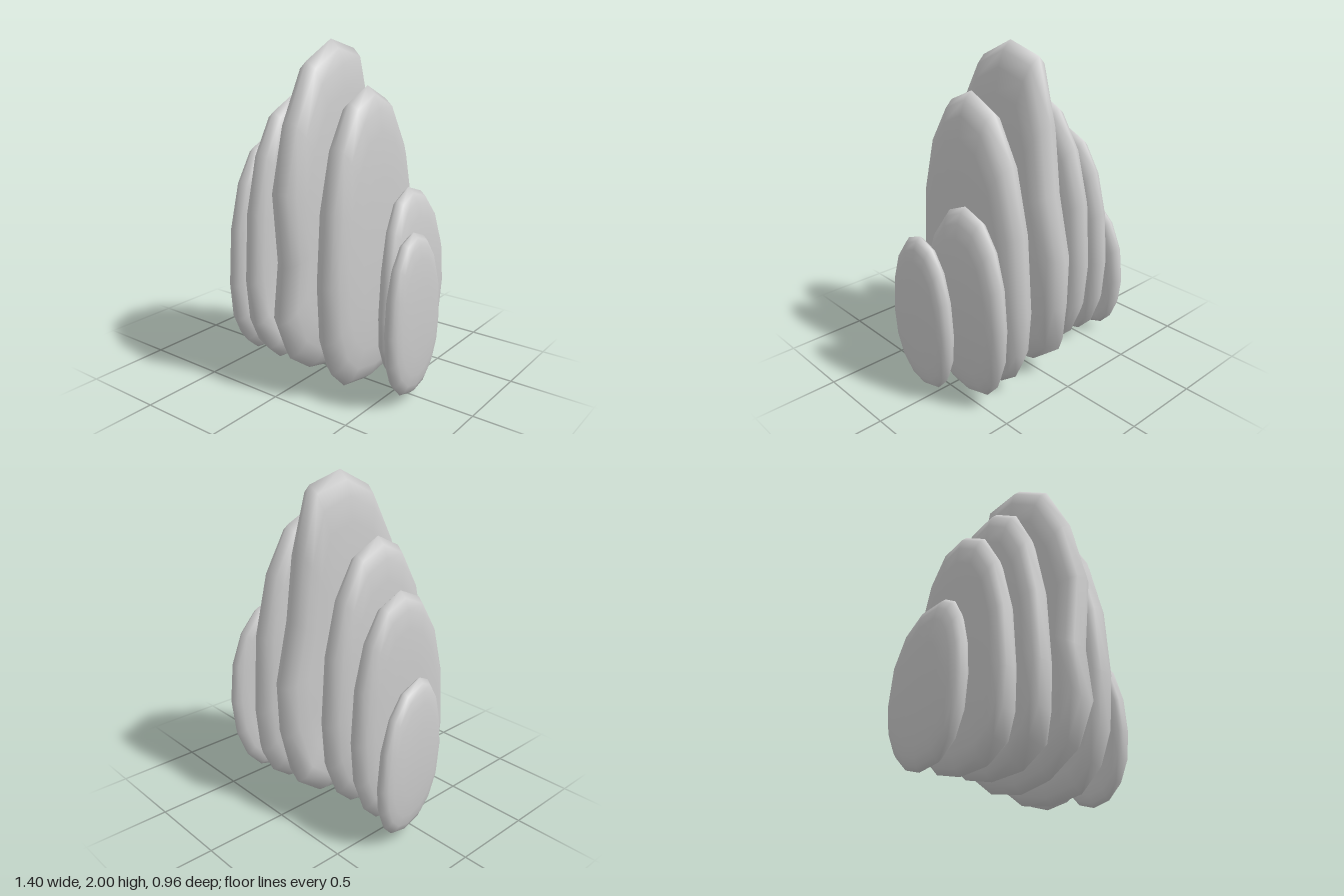
import * as THREE from 'three';
import { mergeVertices } from 'three/addons/utils/BufferGeometryUtils.js';

// Uneven oval through its top, back, bottom and front points, each [z, y];
// fullness squares off the lower half.
function oval(top, back, bottom, front, fullness) {
  const ends = [top, back, bottom, front];
  const points = [];
  for (let q = 0; q < 4; q++) {
    const from = ends[q], to = ends[(q + 1) % 4];
    const power = 2 / (q === 0 || q === 3 ? 2.1 : fullness);
    for (let k = 0; k < 4; k++) {
      const angle = k * Math.PI / 8;
      const leave = Math.cos(angle) ** power, arrive = Math.sin(angle) ** power;
      const grow = axis => from[axis] + (to[axis] - from[axis]) * arrive;
      const fade = axis => to[axis] + (from[axis] - to[axis]) * leave;
      points.push(q % 2 === 0 ? [grow(0), fade(1)] : [fade(0), grow(1)]);
    }
  }
  return points;
}

// Rounded section from face centre over the rim to the other face: [outline scale, thickness share]
const halfSection = [[0, 1], [0.45, 0.97], [0.72, 0.85], [0.86, 0.7], [0.95, 0.44], [1, 0]];
const section = [...halfSection, ...halfSection.slice(0, -1).reverse().map(([s, h]) => [s, -h])];

// Slab standing in the z-y plane: lean shifts x along z, bow shifts x towards
// top and bottom, bulge swells one face by an amount around a spot [z, y].
function slabGeometry(outline, { x, thick, lean = 0, bow = 0, bulge = 0, spot = [0, 0] }) {
  const n = outline.length;
  const range = axis => {
    const values = outline.map(p => p[axis]);
    return [Math.min(...values), Math.max(...values)];
  };
  const [z0, z1] = range(0), [y0, y1] = range(1);
  const cz = (z0 + z1) / 2, cy = (y0 + y1) / 2;
  const positions = [], index = [];

  for (const [s, h] of section) {
    for (const [pz, py] of outline) {
      const z = cz + (pz - cz) * s, y = cy + (py - cy) * s;
      const swell = h * bulge >= 0 ? bulge * Math.exp(-((z - spot[0]) ** 2 + (y - spot[1]) ** 2) / 0.03) : 0;
      const curve = bow * ((y - cy) / (y1 - cy)) ** 2;
      positions.push(x + h * thick + lean * (z - cz) + curve + swell, y, z);
    }
  }
  const last = section.length - 2;
  for (let i = 0; i <= last; i++) {
    for (let j = 0; j < n; j++) {
      const k = (j + 1) % n;
      const a = i * n + j, b = a + n, c = (i + 1) * n + k, d = i * n + k;
      if (i < last) index.push(a, c, b);
      if (i > 0) index.push(a, d, i < last ? c : b);
    }
  }
  const geometry = new THREE.BufferGeometry();
  geometry.setAttribute('position', new THREE.Float32BufferAttribute(positions, 3));
  geometry.setIndex(index);
  const merged = mergeVertices(geometry, 1e-5);
  merged.computeVertexNormals();
  return merged;
}

export function createModel() {
  const group = new THREE.Group();
  group.name = 'standingSlabs';
  const material = new THREE.MeshStandardMaterial({ color: 0xcccccc });
  const addSlab = (name, outline, shape) => {
    const mesh = new THREE.Mesh(slabGeometry(outline, shape), material);
    mesh.name = name;
    group.add(mesh);
  };

  // Left side, from the outside in
  addSlab('outerLeftSlab', oval([0.06, 1], [-0.2, 0.46], [0.05, 0.04], [0.31, 0.46], 2.2),
    { x: 0.632, thick: 0.062, bow: -0.008 });
  addSlab('middleLeftSlab', oval([-0.14, 1.19], [-0.48, 0.56], [-0.17, 0.03], [0.17, 0.48], 2.2),
    { x: 0.497, thick: 0.072, lean: 0.02, bow: -0.035 });
  addSlab('innerLeftSlab', oval([0.01, 1.76], [-0.44, 0.55], [0, 0], [0.43, 0.7], 2.7),
    { x: 0.285, thick: 0.113, bow: -0.008 });

  // Tall centre slab with a slight waist front and back
  const centreOutline = [
    [-0.01, 2], [-0.23, 1.94], [-0.33, 1.59], [-0.38, 1.2], [-0.47, 0.82], [-0.46, 0.5], [-0.39, 0.2], [-0.2, 0.05],
    [0, 0.02], [0.2, 0.07], [0.38, 0.2], [0.48, 0.44], [0.44, 0.77], [0.48, 1.2], [0.38, 1.58], [0.21, 1.89],
  ];
  addSlab('centreSlab', centreOutline,
    { x: 0.02, thick: 0.122, bow: -0.01, bulge: -0.055, spot: [-0.3, 0.2] });

  // Right side, from the inside out
  addSlab('innerRightSlab', oval([0.03, 1.67], [-0.38, 0.65], [0.02, 0.04], [0.42, 0.6], 2.5),
    { x: -0.26, thick: 0.1, bow: 0.01, bulge: 0.065, spot: [0.27, 0.2] });
  addSlab('middleRightSlab', oval([-0.01, 1.42], [-0.35, 0.6], [0, 0.03], [0.355, 0.52], 2.5),
    { x: -0.463, thick: 0.086, bulge: 0.04, spot: [0.2, 0.2] });
  addSlab('outerRightSlab', oval([0, 0.96], [-0.34, 0.4], [-0.12, 0.04], [0.175, 0.5], 2.2),
    { x: -0.635, thick: 0.06, lean: 0.08, bow: 0.015 });
  return group;
}
